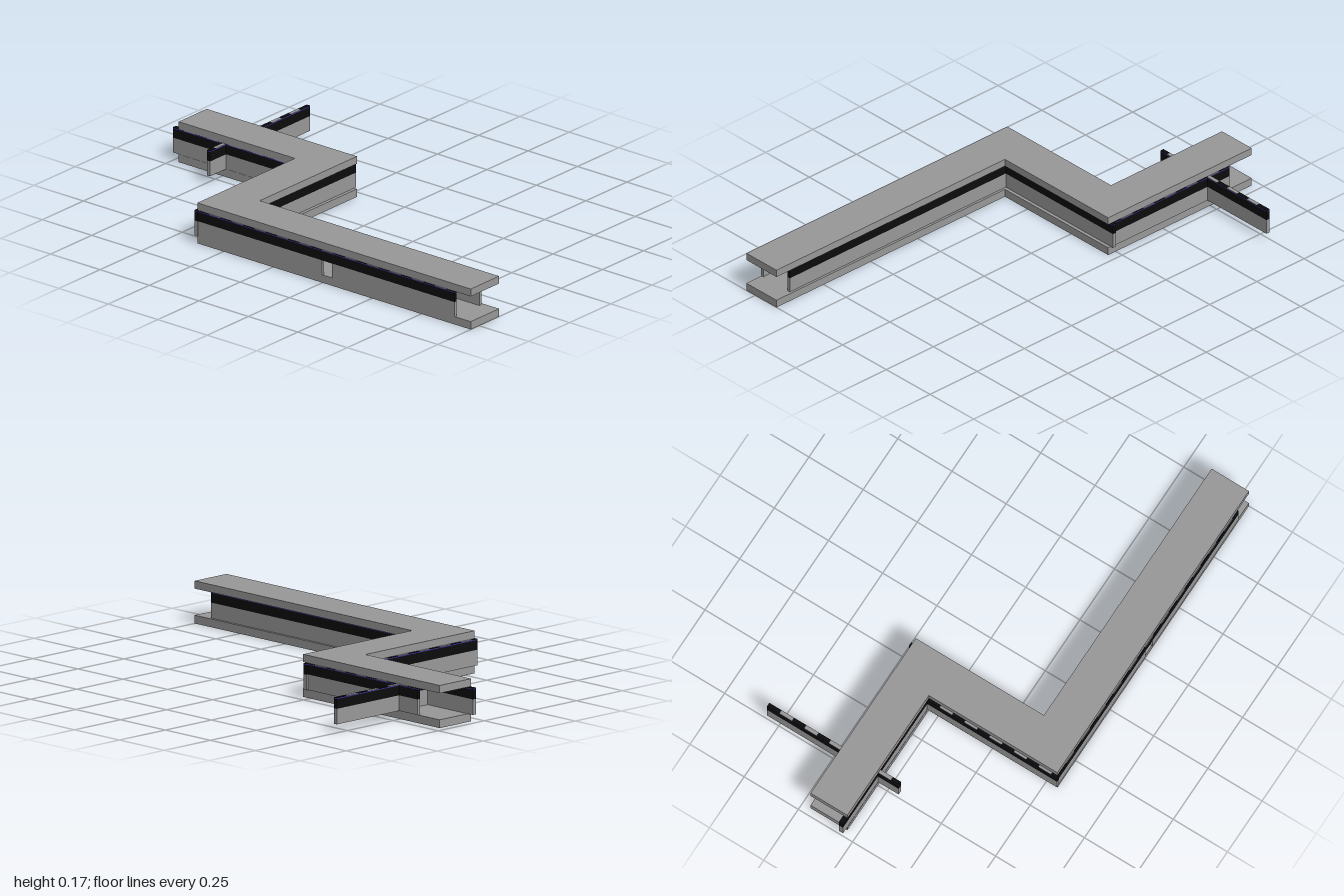
import * as THREE from 'three';

const concrete = new THREE.MeshStandardMaterial({ color: 0x999999 });
concrete.name = 'concrete grey';
const black = new THREE.MeshStandardMaterial({ color: 0x0c0c0c });
black.name = 'band black';
const blue = new THREE.MeshStandardMaterial({ color: 0x3a35a8 });
blue.name = 'trim blue';

// Box given by its minimum and maximum corners
function box(name, mat, x0, x1, y0, y1, z0, z1) {
  const mesh = new THREE.Mesh(new THREE.BoxGeometry(x1 - x0, y1 - y0, z1 - z0), mat);
  mesh.position.set((x0 + x1) / 2, (y0 + y1) / 2, (z0 + z1) / 2);
  mesh.name = name;
  return mesh;
}

// Z-shaped slab following the corridor
function slab(name, y0, y1) {
  const outline = [[-0.97, -0.213], [-0.21, -0.213], [-0.21, 0.378], [1, 0.378],
    [1, 0.55], [-0.382, 0.55], [-0.382, -0.043], [-0.97, -0.043]];
  const shape = new THREE.Shape(outline.map(([x, z]) => new THREE.Vector2(x, -z)));
  const geo = new THREE.ExtrudeGeometry(shape, { depth: y1 - y0, bevelEnabled: false });
  geo.rotateX(-Math.PI / 2);
  const mesh = new THREE.Mesh(geo, concrete);
  mesh.position.y = y0;
  mesh.name = name;
  return mesh;
}

// Wall: grey base (with optional door opening along x), black band, blue trim, chequered cap
function wall(name, x0, x1, z0, z1, door) {
  const g = new THREE.Group();
  g.name = name;
  const spans = door ? [[x0, door[0]], [door[1], x1]] : [[x0, x1]];
  for (const [a, b] of spans) g.add(box('wallBase', concrete, a, b, 0.033, 0.095, z0, z1));
  g.add(box('wallBand', black, x0, x1, 0.095, 0.134, z0, z1));
  g.add(box('wallTrim', blue, x0, x1, 0.134, 0.137, z0, z1));
  const alongX = x1 - x0 > z1 - z0;
  const start = alongX ? x0 : z0;
  const end = alongX ? x1 : z1;
  const step = 0.057;
  for (let s = start, i = 0; s < end - 0.001; s += step, i++) {
    const e = Math.min(s + step, end);
    const mat = i % 2 ? concrete : black;
    g.add(alongX
      ? box('wallCap', mat, s, e, 0.137, 0.139, z0, z1)
      : box('wallCap', mat, x0, x1, 0.137, 0.139, s, e));
  }
  return g;
}

export function createModel() {
  const model = new THREE.Group();
  model.name = 'corridor';
  model.add(slab('floor', 0, 0.033), slab('ceiling', 0.139, 0.17));

  // Upper leg
  model.add(wall('upperFrontWall', -1, -0.392, -0.062, -0.044));
  model.add(wall('upperBackWall', -0.85, -0.24, -0.217, -0.203));
  // Middle leg
  model.add(wall('middleRightWall', -0.392, -0.377, -0.044, 0.555));
  model.add(wall('middleLeftWall', -0.24, -0.224, -0.225, 0.402));
  // Long front leg
  model.add(wall('lowerFrontWall', -0.377, 0.92, 0.54, 0.553, [0.25, 0.3]));
  model.add(wall('lowerBackWall', -0.224, 0.92, 0.388, 0.402));
  // Wall crossing the upper leg
  model.add(wall('crossWall', -0.748, -0.732, -0.555, 0.052));
  return model;
}
